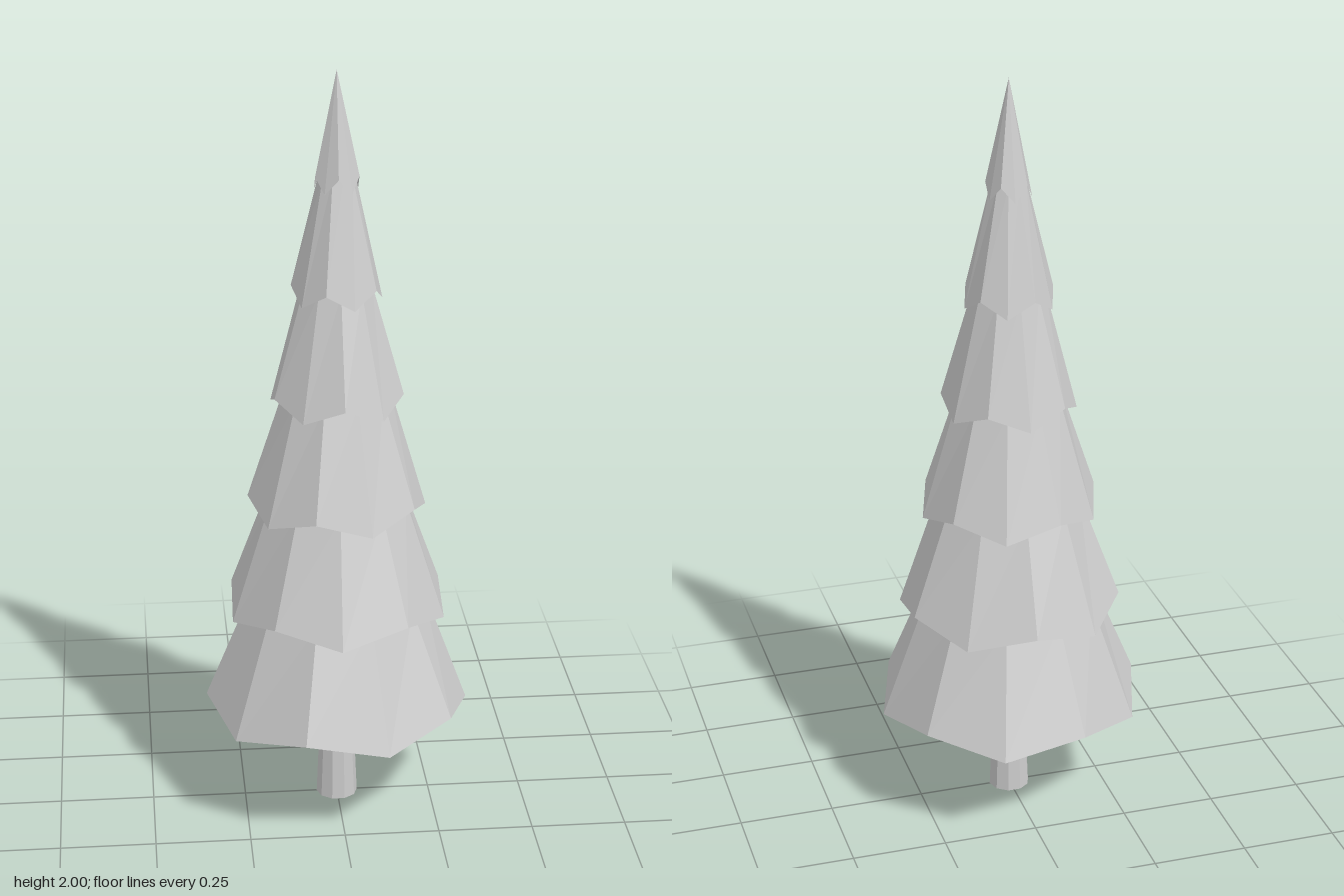
import * as THREE from 'three';

const SIDES = 10;
const TIERS = 6;
const BASE_Y = 0.29;
const STEP = (2 - BASE_Y) / TIERS;
const radiusAt = (i) => 0.35 * (TIERS - i) / TIERS;

// Turn of each tier in degrees; its first corner hangs low
const TURNS = [0, 20, 0, -20, 0, -18];

const material = new THREE.MeshStandardMaterial({
  color: 0xcccccc, flatShading: true, side: THREE.DoubleSide,
});

// Open, tapered skirt whose rim corners alternate low and high
function branchTier(i) {
  const last = i === TIERS - 1;
  const bottom = BASE_Y + i * STEP;
  const top = last ? 2 : bottom + STEP + 0.02;
  const geo = new THREE.CylinderGeometry(
    last ? 0 : radiusAt(i + 1) * 0.79, radiusAt(i), top - bottom, SIDES, 1, true,
    Math.PI / 2 - THREE.MathUtils.degToRad(TURNS[i]),
  );
  geo.translate(0, (top + bottom) / 2, 0);
  const pos = geo.attributes.position;
  for (let k = 0; k <= SIDES; k++) {
    pos.setY(SIDES + 1 + k, bottom + (k % 2 ? 0.02 : -0.02));
  }
  geo.computeVertexNormals();
  const mesh = new THREE.Mesh(geo, material);
  mesh.name = `branchTier${i + 1}`;
  return mesh;
}

export function createModel() {
  const tree = new THREE.Group();
  tree.name = 'pineTree';

  // Tapered trunk reaching up inside the lowest tier
  const trunkHeight = 0.42;
  const trunk = new THREE.Mesh(
    new THREE.CylinderGeometry(0.037, 0.055, trunkHeight, SIDES), material);
  trunk.position.y = trunkHeight / 2;
  trunk.rotation.y = Math.PI / 2;
  trunk.name = 'trunk';
  tree.add(trunk);

  // Stacked branch tiers
  for (let i = 0; i < TIERS; i++) tree.add(branchTier(i));
  return tree;
}
